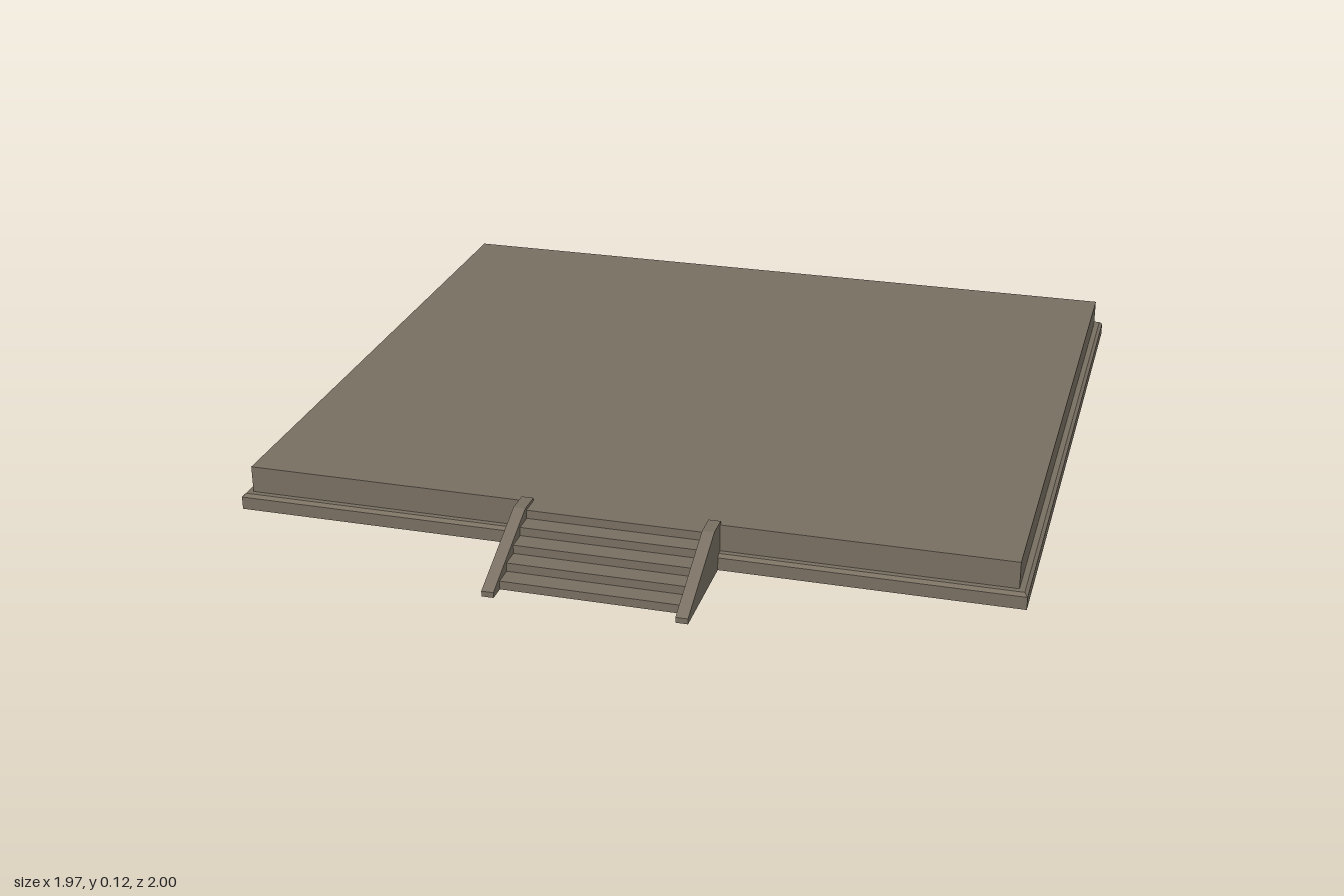
import * as THREE from 'three';

const stone = new THREE.MeshStandardMaterial({ color: 0x7a7163, side: THREE.DoubleSide });
stone.name = 'weathered stone';

// Flat-shaded open surface from a list of four-cornered faces
function quadMesh(name, quads) {
  const pos = [];
  for (const [a, b, c, d] of quads) pos.push(...a, ...b, ...c, ...a, ...c, ...d);
  const g = new THREE.BufferGeometry();
  g.setAttribute('position', new THREE.Float32BufferAttribute(pos, 3));
  g.computeVertexNormals();
  const mesh = new THREE.Mesh(g, stone);
  mesh.name = name;
  return mesh;
}

// Rectangular ring of corners, inset from the plinth outline, at height y
function ring(inset, y) {
  const x = 0.987 - inset, back = -1 + inset, front = 0.732 - inset;
  return [[-x, y, front], [x, y, front], [x, y, back], [-x, y, back]];
}

// Walls joining successive rings
function shell(name, rings) {
  const quads = [];
  for (let r = 0; r < rings.length - 1; r++) {
    const lo = rings[r], hi = rings[r + 1];
    for (let i = 0; i < 4; i++) {
      const j = (i + 1) % 4;
      quads.push([lo[i], lo[j], hi[j], hi[i]]);
    }
  }
  return quadMesh(name, quads);
}

export function createModel() {
  const group = new THREE.Group();
  group.name = 'steppedPlatform';

  // Hollow base: chamfered plinth, upright walls and floor
  group.add(shell('plinth', [ring(0, 0), ring(0, 0.033), ring(0.008, 0.041), ring(0.022, 0.041)]));
  group.add(shell('platformWalls', [ring(0.022, 0.041), ring(0.022, 0.11)]));
  group.add(quadMesh('platformFloor', [ring(0.022, 0.11)]));

  // Stair treads and risers
  const edges = [0.71, 0.757, 0.806, 0.857, 0.907, 0.957];
  const w = 0.222, rise = 0.022, steps = [];
  for (let i = 0; i < 5; i++) {
    const y = 0.11 - i * rise, z0 = edges[i], z1 = edges[i + 1], low = y - rise;
    steps.push([[-w, y, z1], [w, y, z1], [w, y, z0], [-w, y, z0]]);
    steps.push([[-w, low, z1], [w, low, z1], [w, y, z1], [-w, y, z1]]);
  }
  group.add(quadMesh('stairs', steps));

  // Sloping side walls of the stair
  const profile = new THREE.Shape([
    [-1, 0], [-1, 0.014], [-0.765, 0.118], [-0.705, 0.118], [-0.705, 0],
  ].map(([x, y]) => new THREE.Vector2(x, y)));
  const cheek = new THREE.ExtrudeGeometry(profile, { depth: 0.03, bevelEnabled: false });
  cheek.rotateY(Math.PI / 2).translate(-0.015, 0, 0);
  for (const side of [-1, 1]) {
    const mesh = new THREE.Mesh(cheek, stone);
    mesh.name = side > 0 ? 'leftStairWall' : 'rightStairWall';
    mesh.position.x = side * 0.235;
    group.add(mesh);
  }
  return group;
}
